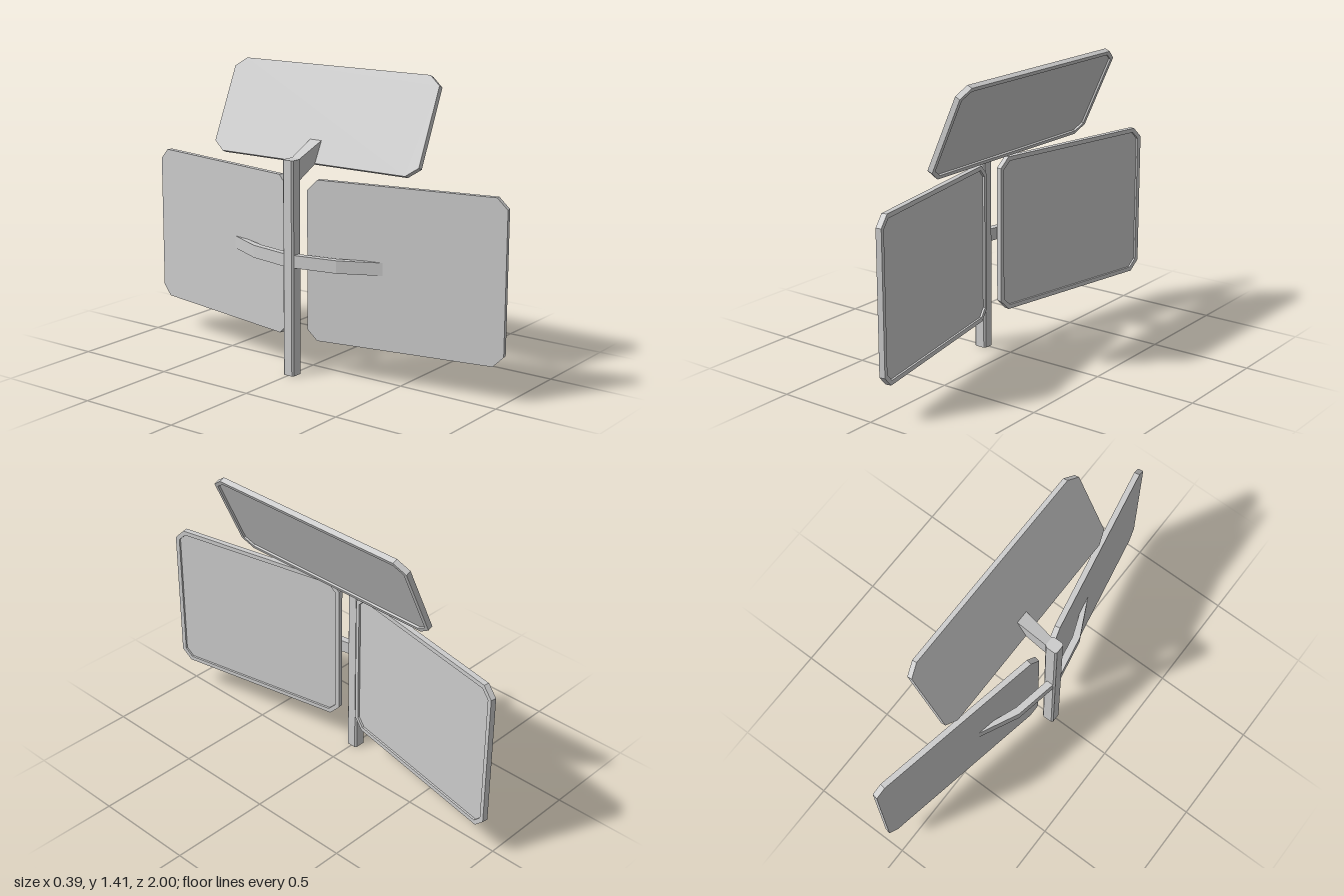
import * as THREE from 'three';

const material = new THREE.MeshStandardMaterial({ color: 0xcccccc, flatShading: true });

// Rectangle with cut corners, centred on the origin
function cutRect(w, h, cx, cy) {
  const x = w / 2, y = h / 2;
  return [[x, -y + cy], [x, y - cy], [x - cx, y], [-x + cx, y],
    [-x, y - cy], [-x, -y + cy], [-x + cx, -y], [x - cx, -y]].map(([a, b]) => new THREE.Vector2(a, b));
}

function extrude(points, depth, hole) {
  const shape = new THREE.Shape(points);
  if (hole) shape.holes.push(new THREE.Path(hole));
  return new THREE.ExtrudeGeometry(shape, { depth, bevelEnabled: false });
}

// Solid back plate plus a raised rim; the recess opens toward local +z
function recessedBlock(name, w, h, depth, recess, rim, cx, cy) {
  const group = new THREE.Group();
  group.name = name;
  const outer = cutRect(w, h, cx, cy);
  const inner = cutRect(w - 2 * rim, h - 2 * rim, cx - 0.586 * rim, cy - 0.586 * rim);
  const plate = new THREE.Mesh(extrude(outer, depth - recess), material);
  plate.name = name + 'Plate';
  plate.position.z = -depth / 2;
  const frame = new THREE.Mesh(extrude(outer, recess, inner), material);
  frame.name = name + 'Rim';
  frame.position.z = depth / 2 - recess;
  group.add(plate, frame);
  return group;
}

export function createModel() {
  const model = new THREE.Group();
  model.name = 'panelStand';

  // Upright post, hollow and open at the foot
  const post = recessedBlock('post', 0.064, 0.06, 1.02, 1.0, 0.002, 0.008, 0.008);
  post.rotation.x = Math.PI / 2;
  post.position.set(-0.162, 0.51, 0);
  model.add(post);

  // Two side panels angled inward, each on a bent arm
  const sideTilt = THREE.MathUtils.degToRad(10.9);
  for (const s of [1, -1]) {
    const panel = recessedBlock(s > 0 ? 'frontPanel' : 'backPanel', 0.957, 0.76, 0.027, 0.01, 0.021, 0.05, 0.05);
    panel.rotation.y = Math.PI / 2 + s * sideTilt;
    panel.position.set(-0.02, 0.55, s * 0.527);
    model.add(panel);

    const outline = [[-0.187, 0.02], [-0.145, 0.24], [-0.052, 0.43], [-0.04, 0.425],
      [-0.067, 0.345], [-0.115, 0.22], [-0.152, 0.02]].map(([x, z]) => new THREE.Vector2(x, -s * z));
    const arm = new THREE.Mesh(extrude(outline, 0.06), material);
    arm.name = s > 0 ? 'frontArm' : 'backArm';
    arm.rotation.x = -Math.PI / 2;
    arm.position.y = 0.52;
    model.add(arm);
  }

  // Top panel leaning forward over the others
  const top = recessedBlock('topPanel', 1.17, 0.469, 0.027, 0.01, 0.019, 0.06, 0.045);
  top.rotation.set(0, Math.PI / 2, -THREE.MathUtils.degToRad(24.4), 'ZYX');
  top.position.set(0.0825, 1.191, 0);
  model.add(top);

  // Wedge bracket that widens from the post to the top panel
  const profile = [[-0.14, 0.915], [-0.018, 0.985], [0.022, 1.085], [-0.14, 1.016]]
    .map(([x, y]) => new THREE.Vector2(x, y));
  const geometry = extrude(profile, 2).translate(0, 0, -1);
  const p = geometry.attributes.position;
  for (let i = 0; i < p.count; i++) {
    p.setZ(i, p.getZ(i) * (0.022 + 0.011 * (p.getX(i) + 0.14) / 0.16));
  }
  geometry.computeVertexNormals();
  const bracket = new THREE.Mesh(geometry, material);
  bracket.name = 'topBracket';
  model.add(bracket);

  return model;
}
